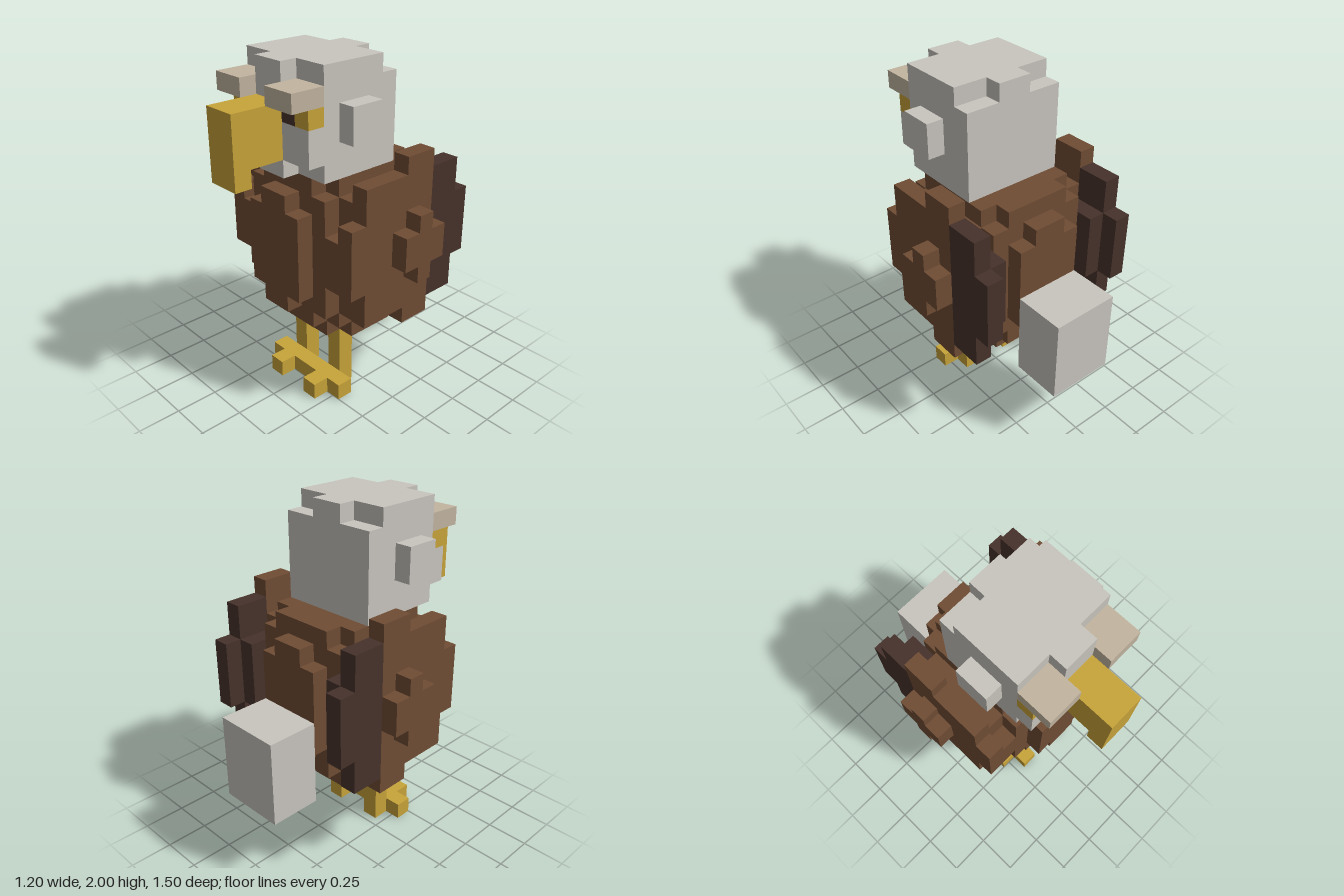
import * as THREE from 'three';

export function createModel() {
  const root = new THREE.Group();
  root.name = 'blockBird';
  const mat = (name, color) => {
    const m = new THREE.MeshStandardMaterial({ color });
    m.name = name;
    return m;
  };
  const white = mat('headWhite', 0xc9c5be);
  const brown = mat('featherBrown', 0x704d34);
  const dark = mat('darkBrown', 0x47322b);
  const gold = mat('beakGold', 0xc8a43a);
  const tan = mat('browTan', 0xc2b5a0);

  // Box from its limits
  const box = (name, m, x0, x1, y0, y1, z0, z1) => {
    const mesh = new THREE.Mesh(new THREE.BoxGeometry(x1 - x0, y1 - y0, z1 - z0), m);
    mesh.position.set((x0 + x1) / 2, (y0 + y1) / 2, (z0 + z1) / 2);
    mesh.name = name;
    root.add(mesh);
  };
  // Box centred on x, given by its half width
  const mid = (name, m, hx, ...r) => box(name, m, -hx, hx, ...r);
  // Box on both sides
  const pair = (name, m, x0, x1, ...r) => {
    box(name + 'Left', m, x0, x1, ...r);
    box(name + 'Right', m, -x1, -x0, ...r);
  };

  // Head
  mid('head', white, 0.3, 1.4, 1.9, -0.15, 0.35);
  mid('crown', white, 0.3, 1.9, 2.0, -0.05, 0.35);
  mid('crownBack', white, 0.1, 1.9, 2.0, -0.15, -0.05);
  mid('faceRidge', white, 0.1, 1.4, 2.0, 0.35, 0.45);
  pair('cheek', white, 0.1, 0.3, 1.5, 1.7, 0.35, 0.45);
  pair('ear', white, 0.3, 0.4, 1.6, 1.8, 0.05, 0.25);
  pair('pupil', dark, 0.1, 0.2, 1.7, 1.8, 0.35, 0.45);
  pair('eye', gold, 0.2, 0.3, 1.7, 1.8, 0.35, 0.45);
  pair('brow', tan, 0.1, 0.3, 1.8, 1.9, 0.35, 0.55);

  // Beak
  mid('beak', gold, 0.1, 1.5, 1.8, 0.45, 0.75);
  mid('beakTip', gold, 0.1, 1.4, 1.5, 0.65, 0.75);

  // Body core
  mid('body', brown, 0.4, 0.6, 1.3, -0.25, 0.25);
  mid('shoulders', brown, 0.3, 1.3, 1.4, -0.25, 0.25);
  mid('lowerBody', brown, 0.4, 0.5, 0.6, -0.15, 0.15);
  mid('lowerBodyLong', brown, 0.3, 0.5, 0.6, -0.25, 0.25);
  mid('belly', brown, 0.3, 0.4, 0.5, -0.15, 0.15);
  mid('bellyLong', brown, 0.2, 0.4, 0.5, -0.25, 0.25);

  // Stepped breast and back
  for (const [name, s] of [['breast', 1], ['back', -1]]) {
    const layer = (part, hx, y0, y1, near) => {
      const z = [s * near, s * (near + 0.1)].sort((a, b) => a - b);
      mid(name + part, brown, hx, y0, y1, ...z);
    };
    layer('Wide', 0.3, 0.6, 1.3, 0.25);
    layer('Tall', 0.2, 0.5, 1.4, 0.25);
    layer('Plate', 0.2, 0.7, 1.2, 0.35);
    layer('PlateTall', 0.1, 0.6, 1.3, 0.35);
  }

  // Wings
  pair('wing', brown, 0.4, 0.5, 0.6, 1.4, -0.25, 0.25);
  pair('wingFront', brown, 0.3, 0.5, 0.8, 1.1, 0.25, 0.35);
  pair('wingFrontTop', brown, 0.4, 0.5, 1.1, 1.2, 0.25, 0.35);
  pair('wingTop', brown, 0.4, 0.5, 1.4, 1.5, -0.25, -0.05);
  pair('wingBottom', brown, 0.4, 0.5, 0.5, 0.6, -0.25, -0.05);
  pair('wingBoss', brown, 0.5, 0.6, 0.9, 1.1, -0.25, 0.05);
  pair('wingBossTall', brown, 0.5, 0.6, 0.8, 1.2, -0.15, -0.05);
  pair('wingTip', dark, 0.4, 0.5, 0.6, 1.4, -0.45, -0.25);
  pair('wingTipEnd', dark, 0.4, 0.5, 0.8, 1.2, -0.55, -0.45);
  pair('wingTipInner', dark, 0.3, 0.4, 0.8, 1.2, -0.45, -0.25);

  // Tail
  mid('tail', white, 0.2, 0.4, 0.9, -0.75, -0.45);

  // Legs and feet
  pair('leg', gold, 0.1, 0.2, 0, 0.4, 0.05, 0.15);
  mid('feet', gold, 0.3, 0, 0.1, 0.15, 0.25);
  pair('toe', gold, 0.1, 0.2, 0, 0.1, 0.25, 0.35);

  return root;
}
